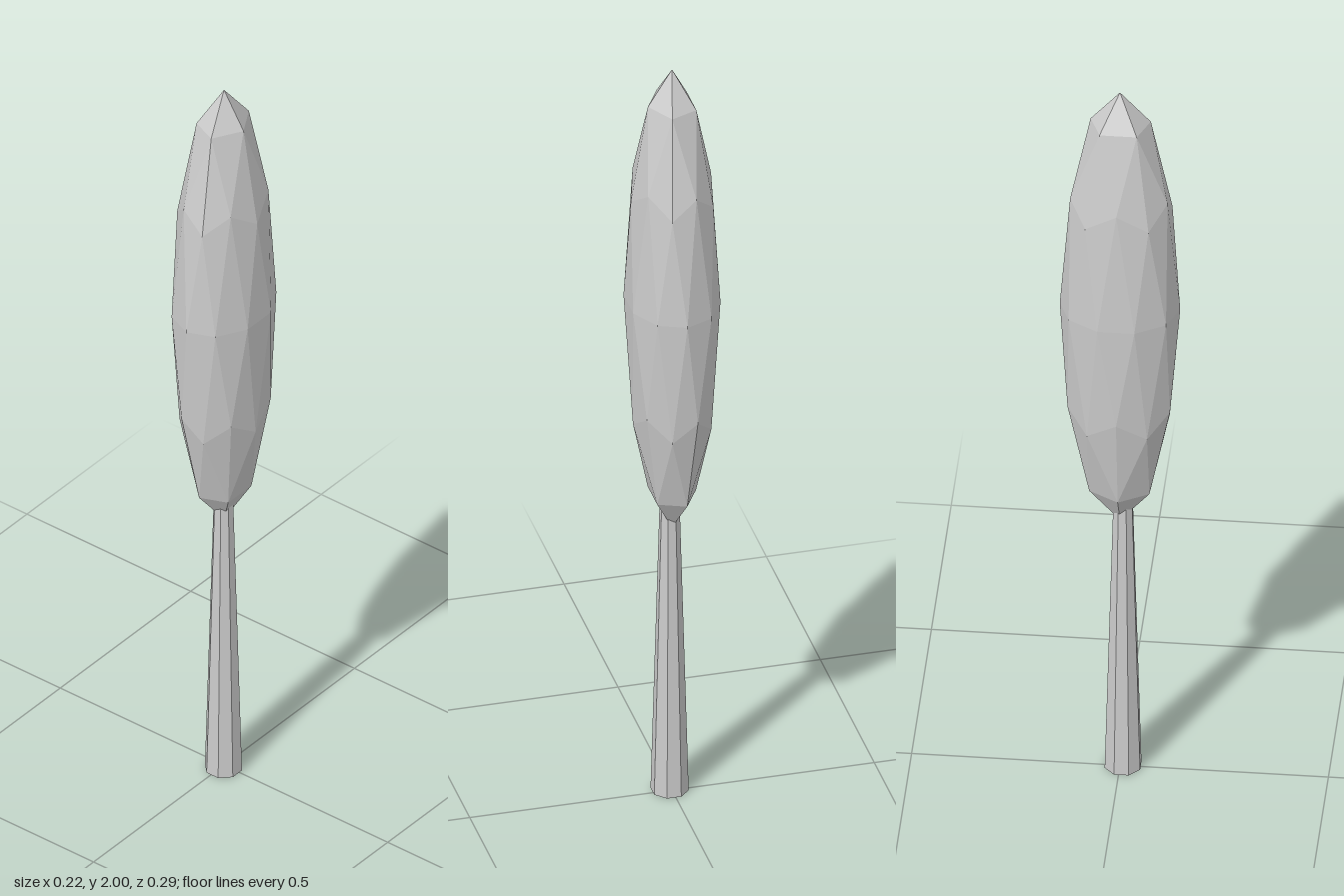
import * as THREE from 'three';

export function createModel() {
  const tree = new THREE.Group();
  tree.name = 'tree';
  const material = new THREE.MeshStandardMaterial({ color: 0xcccccc, flatShading: true });

  const add = (name, geometry, x, y, z) => {
    const mesh = new THREE.Mesh(geometry, material);
    mesh.name = name;
    mesh.position.set(x, y, z);
    tree.add(mesh);
  };

  // Foliage: subdivided icosahedron stood on a vertex, then stretched tall
  const foliage = new THREE.IcosahedronGeometry(1, 1);
  foliage.rotateX(-Math.atan((1 + Math.sqrt(5)) / 2));
  foliage.rotateY(Math.PI / 2);
  foliage.scale(0.1135, 0.635, 0.1445);
  foliage.computeVertexNormals();
  add('foliage', foliage, 0, 1.365, 0);

  // Trunk: tapered eight-sided post, slightly off centre, ending inside the foliage
  const height = 0.8;
  const trunk = new THREE.CylinderGeometry(0.024, 0.046, height, 8);
  trunk.rotateY(Math.PI / 8);
  add('trunk', trunk, 0.004, height / 2, 0.007);

  return tree;
}
